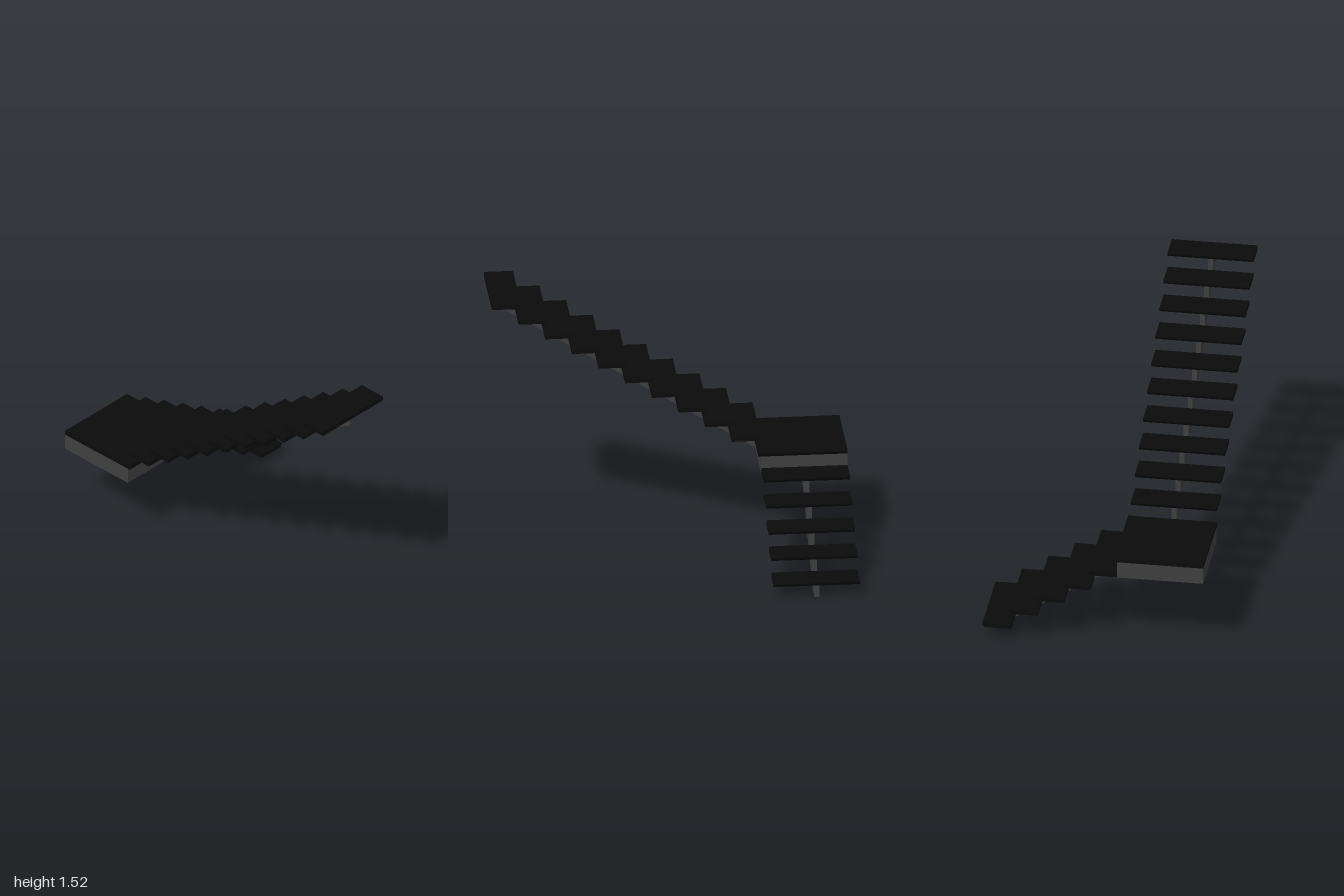
import * as THREE from 'three';

const RISE = 0.0953, RUN = 0.15, THICK = 0.025, NOSE = 0.014;
const treadMat = new THREE.MeshStandardMaterial({ color: 0x0b0b0b });
const frameMat = new THREE.MeshStandardMaterial({ color: 0x404040 });

// Extrudes an (x, y) outline from z0 to z1
function slab(name, points, z0, z1, material) {
  const shape = new THREE.Shape(points.map(([x, y]) => new THREE.Vector2(x, y)));
  const geometry = new THREE.ExtrudeGeometry(shape, { depth: z1 - z0, bevelEnabled: false });
  geometry.translate(0, 0, z0);
  const mesh = new THREE.Mesh(geometry, material);
  mesh.name = name;
  return mesh;
}

// Board with an undercut nose on its +x edge
function board(name, back, front, top, z0, z1) {
  return slab(name, [
    [back, top - THICK], [front, top - THICK],
    [front + NOSE, top - 0.007], [front + NOSE, top], [back, top],
  ], z0, z1, treadMat);
}

// Flight climbing towards -x: treads on one central sawtooth stringer
function flight(name, { count, front, top, z0, z1, foot, end }) {
  const group = new THREE.Group();
  group.name = name;
  const outline = [...foot];
  for (let i = 0; i < count; i++) {
    const x = front - i * RUN, y = top + i * RISE;
    group.add(board('tread', x - RUN, x, y, z0, z1));
    const back = i === count - 1 ? end[0] : x - RUN;
    outline.push([x, y - THICK], [back, y - THICK]);
  }
  outline.push(end);
  const mid = (z0 + z1) / 2;
  group.add(slab('stringer', outline, mid - 0.014, mid + 0.014, frameMat));
  return group;
}

export function createModel() {
  const model = new THREE.Group();
  model.name = 'staircase';

  // Lower flight, climbing towards the landing
  model.add(flight('lowerFlight', {
    count: 5, front: 0.612, top: RISE, z0: -1, z1: -0.515,
    foot: [[0.51, 0], [0.612, 0]], end: [-0.123, 0.402],
  }));

  // Upper flight, turned a quarter to climb towards +z
  const upper = flight('upperFlight', {
    count: 10, front: 0.498, top: 7 * RISE, z0: -0.627, z1: -0.14,
    foot: [[0.512, 0.497], [0.512, 0.56], [0.498, 0.56]], end: [-0.99, 1.453],
  });
  upper.rotation.y = Math.PI / 2;
  model.add(upper);

  // Landing: top board over a skirt that is open below
  const landing = new THREE.Group();
  landing.name = 'landing';
  landing.add(board('landingTop', -0.627, -0.137, 6 * RISE, -1, -0.498));
  const x0 = -0.627, x1 = -0.137, z0 = -1, z1 = -0.512, t = 0.014;
  const wall = (w, d, x, z) => {
    const mesh = new THREE.Mesh(new THREE.BoxGeometry(w, 0.097, d), frameMat);
    mesh.name = 'landingSkirt';
    mesh.position.set(x, 0.4995, z);
    landing.add(mesh);
  };
  for (const z of [z0 + t / 2, z1 - t / 2]) wall(x1 - x0, t, (x0 + x1) / 2, z);
  for (const x of [x0 + t / 2, x1 - t / 2]) wall(t, z1 - z0 - 2 * t, x, (z0 + z1) / 2);
  model.add(landing);

  return model;
}
